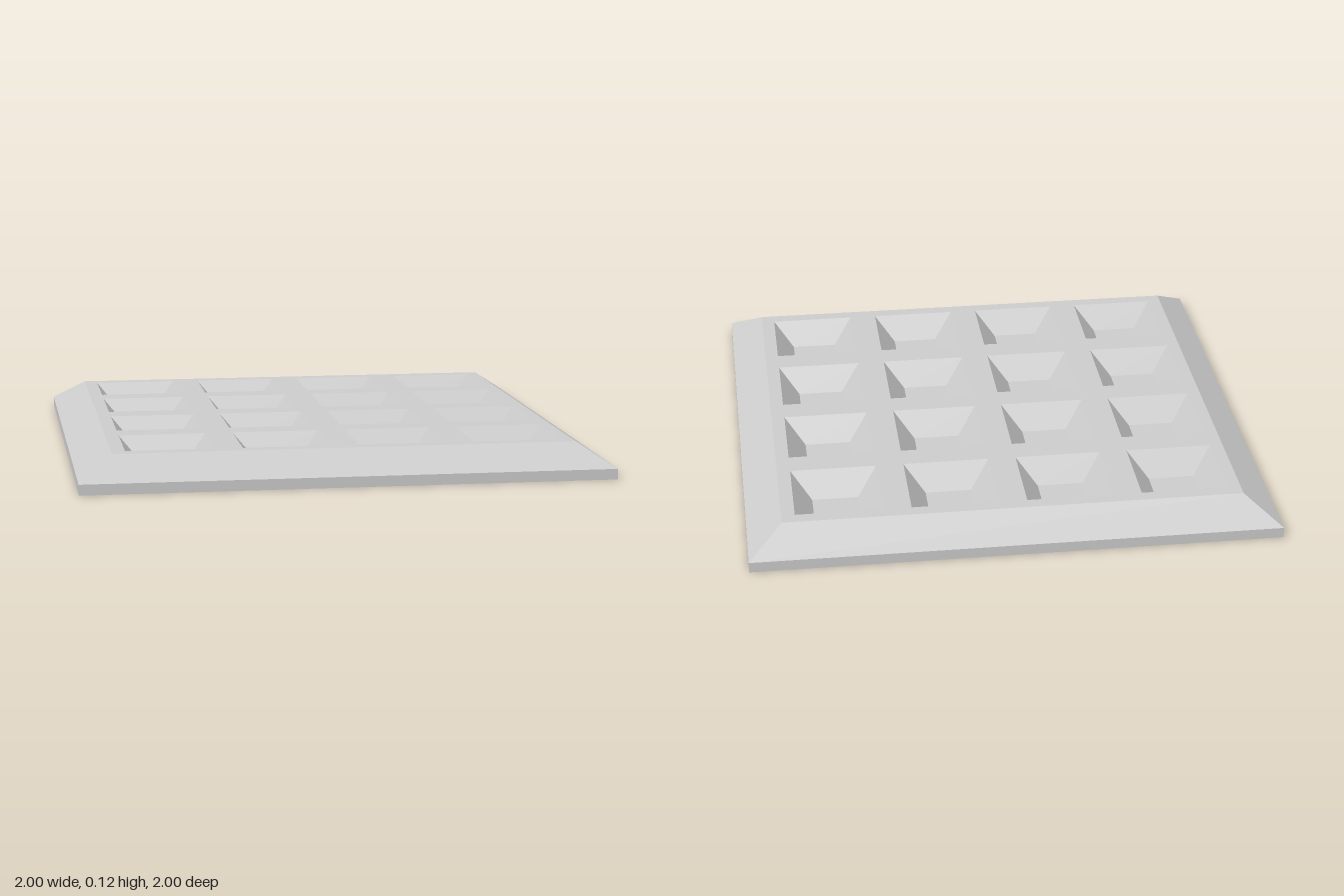
import * as THREE from 'three';

const HEIGHT = 0.125;        // top face
const RIM = 0.04;            // top of the vertical edge
const FLOOR = 0.036;         // pocket floor
const TOP_HALF = 0.87;
const PITCH = 0.436;
const POCKET_HALF = 0.165;
const FLOOR_HALF = 0.088;

const material = new THREE.MeshStandardMaterial({ color: 0xcccccc, flatShading: true });

function add(group, name, geometry) {
  const mesh = new THREE.Mesh(geometry, material);
  mesh.name = name;
  group.add(mesh);
  return mesh;
}

// Open four-sided wall between two square outlines; inward turns its faces to the inside
function squareWall(bottomHalf, topHalf, y0, y1, inward = false) {
  let g = new THREE.CylinderGeometry(topHalf * Math.SQRT2, bottomHalf * Math.SQRT2, y1 - y0, 4, 1, true);
  g.rotateY(Math.PI / 4).translate(0, (y0 + y1) / 2, 0);
  if (inward) g.scale(1, 1, -1);
  g = g.toNonIndexed();
  g.computeVertexNormals();
  return g;
}

// Horizontal square facing up (or down)
function flatSquare(half, y, down = false) {
  return new THREE.PlaneGeometry(half * 2, half * 2)
    .rotateX(down ? Math.PI / 2 : -Math.PI / 2)
    .translate(0, y, 0);
}

function squarePath(path, cx, cy, h) {
  path.moveTo(cx - h, cy - h);
  path.lineTo(cx + h, cy - h);
  path.lineTo(cx + h, cy + h);
  path.lineTo(cx - h, cy + h);
  path.closePath();
  return path;
}

export function createModel() {
  const model = new THREE.Group();
  model.name = 'pocketedTile';

  // Base, vertical edge and sloped border
  add(model, 'underside', flatSquare(1, 0, true));
  add(model, 'edge', squareWall(1, 1, 0, RIM));
  add(model, 'bevel', squareWall(1, TOP_HALF, RIM, HEIGHT));

  // Top face with a 4 x 4 grid of tapered pockets
  const top = squarePath(new THREE.Shape(), 0, 0, TOP_HALF);
  const wall = squareWall(FLOOR_HALF, POCKET_HALF, FLOOR, HEIGHT, true);
  const floor = flatSquare(FLOOR_HALF, FLOOR);
  for (let i = 0; i < 4; i++) {
    for (let j = 0; j < 4; j++) {
      const x = (i - 1.5) * PITCH;
      const z = (j - 1.5) * PITCH;
      top.holes.push(squarePath(new THREE.Path(), x, -z, POCKET_HALF));
      const pocket = new THREE.Group();
      pocket.name = 'pocket';
      add(pocket, 'pocketWalls', wall);
      add(pocket, 'pocketFloor', floor);
      pocket.position.set(x, 0, z);
      model.add(pocket);
    }
  }
  const topGeometry = new THREE.ShapeGeometry(top).rotateX(-Math.PI / 2).translate(0, HEIGHT, 0);
  add(model, 'topFace', topGeometry);

  return model;
}
